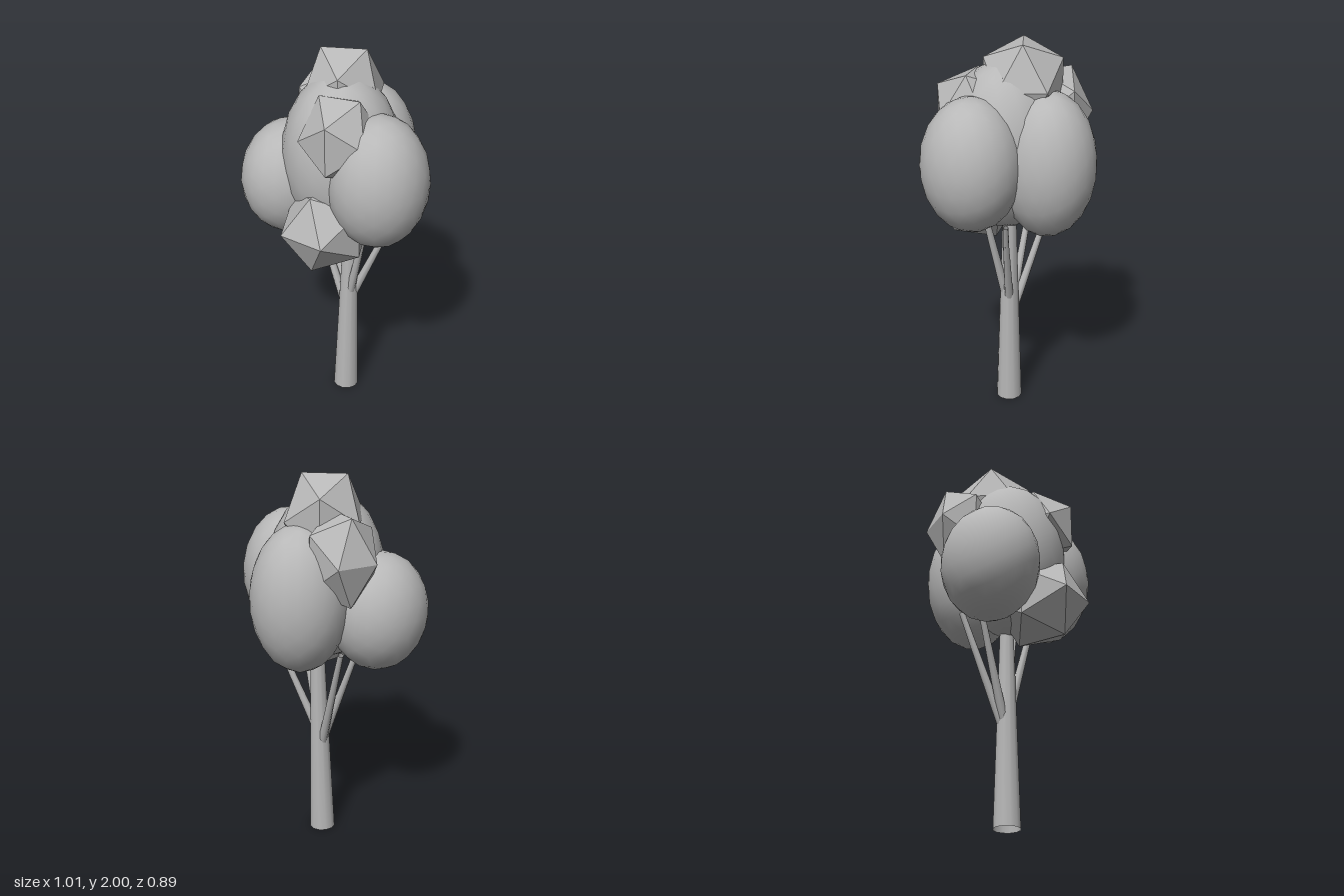
import * as THREE from 'three';

export function createModel() {
  const tree = new THREE.Group();
  tree.name = 'tree';
  const grey = new THREE.MeshStandardMaterial({ color: 0xb8b8b8, side: THREE.DoubleSide });
  grey.name = 'plain grey';

  // Tapered open tube between two points
  function limb(name, from, to, r0, r1, sides) {
    const a = new THREE.Vector3(...from), b = new THREE.Vector3(...to);
    const dir = b.clone().sub(a);
    const mesh = new THREE.Mesh(
      new THREE.CylinderGeometry(r1, r0, dir.length(), sides, 1, true), grey);
    mesh.position.copy(a).add(b).multiplyScalar(0.5);
    mesh.quaternion.setFromUnitVectors(new THREE.Vector3(0, 1, 0), dir.normalize());
    mesh.name = name;
    tree.add(mesh);
  }

  // Stretched ball of leaves: detail 3 is smooth, detail 0 is a faceted clump
  function foliage(name, position, scale, turn, detail) {
    const mesh = new THREE.Mesh(new THREE.IcosahedronGeometry(1, detail), grey);
    mesh.position.set(...position);
    mesh.scale.set(...scale);
    mesh.rotation.y = turn;
    mesh.name = name;
    tree.add(mesh);
  }

  // Trunk and branches
  limb('trunk', [-0.003, 0.003, 0.014], [0.02, 1.3, -0.008], 0.07, 0.03, 12);
  limb('branchLeftBack', [0.16, 1.0, -0.1], [0.01, 0.58, 0], 0.016, 0.025, 8);
  limb('branchLeftFront', [0.005, 0.56, 0.01], [0.16, 1.12, 0.035], 0.025, 0.016, 8);
  limb('branchRightBack', [0.0, 0.48, 0.005], [-0.23, 1.12, -0.09], 0.025, 0.015, 8);
  limb('branchRightFront', [0.0, 0.5, 0.005], [-0.22, 1.1, 0.04], 0.025, 0.015, 8);
  // Upper run of the back left branch, reaching into the crown
  limb('branchLeftBackTip', [0.16, 1.0, -0.1], [0.2, 1.12, -0.13], 0.016, 0.014, 8);

  // Smooth crown
  foliage('crownCentre', [-0.005, 1.47, 0.04], [0.3, 0.44, 0.298], 0.3, 3);
  foliage('crownRight', [-0.265, 1.305, 0.15], [0.242, 0.307, 0.268], 0, 3);
  foliage('crownLeft', [0.25, 1.425, 0.045], [0.255, 0.345, 0.258], 0.15, 3);
  foliage('crownBack', [-0.05, 1.4, -0.195], [0.25, 0.38, 0.25], 0.2, 3);

  // Faceted clumps
  foliage('clumpTop', [-0.06, 1.78, -0.03], [0.215, 0.258, 0.232], 0.645, 0);
  foliage('clumpFrontLow', [0.058, 1.17, 0.205], [0.26, 0.243, 0.228], -1.38, 0);
  foliage('clumpFrontHigh', [0.105, 1.65, 0.16], [0.198, 0.235, 0.215], 0.42, 0);
  foliage('clumpRightHigh', [-0.233, 1.62, -0.098], [0.194, 0.259, 0.198], -0.318, 0);

  return tree;
}
